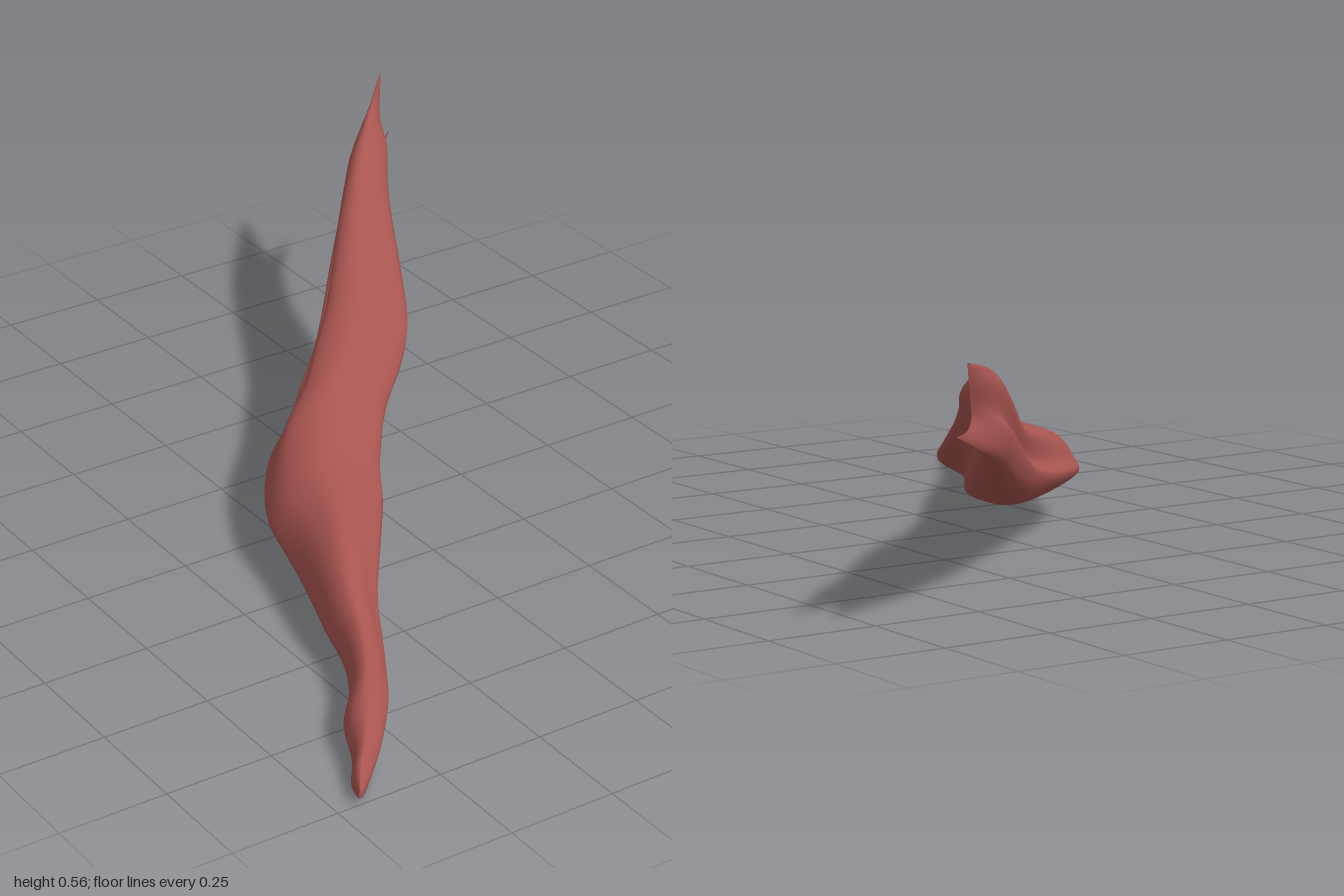
import * as THREE from 'three';

// Cross-section stations along the strand: z, xMin, xMax, yMin, yMax
const STATIONS = [
  [1.0, -0.7, -0.69, 0.02, 0.04], [0.95, -0.685, -0.63, 0.005, 0.06],
  [0.9, -0.65, -0.575, 0.015, 0.085], [0.8, -0.605, -0.49, 0.03, 0.105],
  [0.7, -0.525, -0.43, 0.025, 0.115], [0.6, -0.475, -0.375, 0.025, 0.135],
  [0.5, -0.45, -0.32, 0.03, 0.165], [0.4, -0.42, -0.25, 0.035, 0.19],
  [0.3, -0.39, -0.175, 0.04, 0.205], [0.2, -0.365, -0.1, 0.05, 0.21],
  [0.1, -0.34, -0.035, 0.06, 0.22], [0, -0.29, 0.04, 0.075, 0.235],
  [-0.1, -0.215, 0.12, 0.09, 0.255], [-0.2, -0.1, 0.22, 0.1, 0.28],
  [-0.3, 0, 0.305, 0.12, 0.305], [-0.4, 0.105, 0.36, 0.15, 0.335],
  [-0.5, 0.195, 0.41, 0.185, 0.375], [-0.6, 0.28, 0.46, 0.225, 0.42],
  [-0.7, 0.37, 0.515, 0.275, 0.47], [-0.8, 0.465, 0.58, 0.325, 0.512],
];

// Unit profiles, running top, front, bottom, back
const ROUND = [[0.45, 1], [0.75, 0.88], [0.98, 0.6], [0.88, 0.36], [0.8, 0.12],
  [0.5, 0], [0.25, 0.05], [0.01, 0.25], [0.04, 0.48], [0.2, 0.82]];
const GROOVED = [[0.38, 1], [0.72, 0.95], [1, 0.74], [0.76, 0.45], [0.68, 0.2],
  [0.35, 0], [0.1, 0.08], [0, 0.33], [0.17, 0.5], [0.12, 0.8]];

// Forked rim, from the upper prong tip through the notch to the lower tip
const RIM = [[0.697, 0.562, -1], [0.66, 0.515, -0.95], [0.622, 0.465, -0.9],
  [0.606, 0.43, -0.88], [0.635, 0.412, -0.91], [0.695, 0.41, -0.96]];

const SIDES = 40;
const STEPS = 4;

function sectionRing([z, x0, x1, y0, y1]) {
  const blend = THREE.MathUtils.smoothstep(-z, -0.1, 0.5);
  const control = ROUND.map(([u, v], k) => new THREE.Vector3(
    THREE.MathUtils.lerp(u, GROOVED[k][0], blend),
    THREE.MathUtils.lerp(v, GROOVED[k][1], blend), 0));
  const curve = new THREE.CatmullRomCurve3(control, true);
  return Array.from({ length: SIDES }, (_, j) => {
    const p = curve.getPoint(j / SIDES);
    return new THREE.Vector3(x0 + (x1 - x0) * p.x, y0 + (y1 - y0) * p.y, z);
  });
}

function rimRing() {
  const curve = new THREE.CatmullRomCurve3(RIM.map((p) => new THREE.Vector3(...p)));
  return Array.from({ length: SIDES }, (_, j) =>
    curve.getPoint(Math.min(j, SIDES - j) / (SIDES / 2)));
}

function strandGeometry() {
  const [z, x0, x1, y0, y1] = STATIONS[0];
  const tip = Array.from({ length: SIDES }, () =>
    new THREE.Vector3((x0 + x1) / 2, (y0 + y1) / 2, z));
  const rings = [tip, ...STATIONS.map(sectionRing), rimRing()];
  const rows = (rings.length - 1) * STEPS;
  const columns = Array.from({ length: SIDES }, (_, j) =>
    new THREE.CatmullRomCurve3(rings.map((ring) => ring[j])));

  const positions = [];
  const index = [];
  for (let i = 0; i <= rows; i++) {
    const t = i / rows;
    for (let j = 0; j < SIDES; j++) {
      const p = columns[j].getPoint(t);
      // Shallow lengthwise fibre ridges, strongest on the lower front
      const a = (j / SIDES) * Math.PI * 2;
      const front = Math.max(0, Math.sin(a - 0.3));
      const ripple = 0.007 * front * Math.sin(Math.PI * t) ** 2 * Math.sin(a * 7 + t * 14);
      positions.push(p.x + ripple * 0.8, p.y, p.z + ripple * 0.6);
      if (i === rows) continue;
      const k = (j + 1) % SIDES;
      const r = i * SIDES;
      const s = r + SIDES;
      index.push(r + j, r + k, s + j, r + k, s + k, s + j);
    }
  }
  const geometry = new THREE.BufferGeometry();
  geometry.setAttribute('position', new THREE.Float32BufferAttribute(positions, 3));
  geometry.setIndex(index);
  geometry.computeVertexNormals();
  return geometry;
}

export function createModel() {
  const group = new THREE.Group();
  group.name = 'muscle';
  const flesh = new THREE.MeshStandardMaterial({ color: 0xa85550 });
  flesh.name = 'flesh red';
  const strand = new THREE.Mesh(strandGeometry(), flesh);
  strand.name = 'muscleStrand';
  group.add(strand);
  return group;
}
